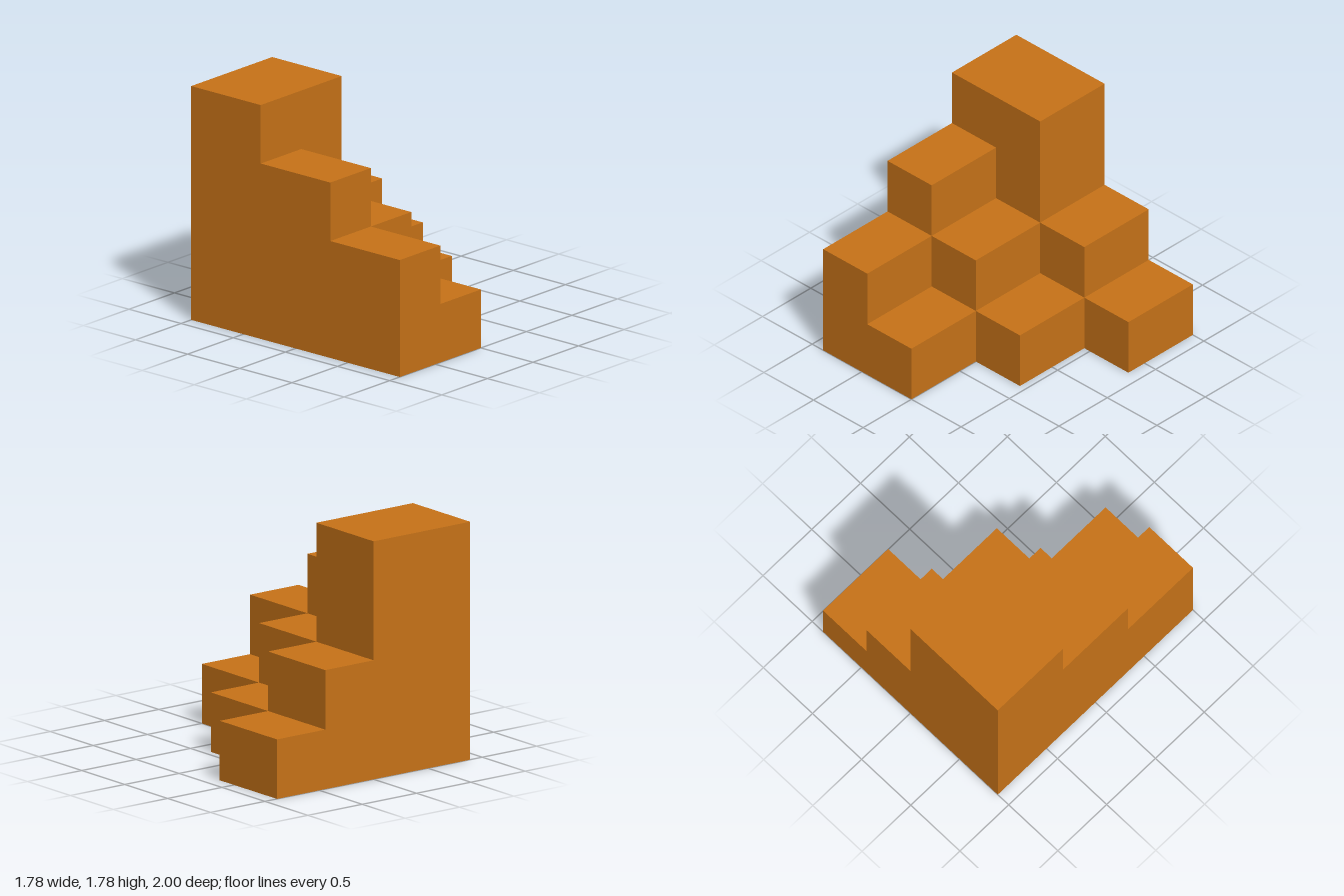
import * as THREE from 'three';

const STEP = 4 / 9;   // width and height of one block
const DEPTH = 2 / 3;  // depth of one row

// Block heights in each row, from the model's right (-x) to its left (+x)
const ROWS = [
  { name: 'backRow', heights: [4, 4, 2, 1] },
  { name: 'middleRow', heights: [3, 2, 1] },
  { name: 'frontRow', heights: [2, 1] },
];

// Stepped outline of one row, seen from the front
function stairShape(heights) {
  const x0 = -2 * STEP;
  const shape = new THREE.Shape();
  shape.moveTo(x0, 0);
  shape.lineTo(x0 + heights.length * STEP, 0);
  for (let i = heights.length - 1; i >= 0; i--) {
    const h = heights[i] * STEP;
    if (heights[i] !== heights[i + 1]) shape.lineTo(x0 + (i + 1) * STEP, h);
    if (heights[i] !== heights[i - 1]) shape.lineTo(x0 + i * STEP, h);
  }
  shape.closePath();
  return shape;
}

export function createModel() {
  const model = new THREE.Group();
  model.name = 'steppedBlocks';
  const material = new THREE.MeshStandardMaterial({ color: 0xc87318 });

  // Rows of stacked blocks, back to front
  ROWS.forEach(({ name, heights }, i) => {
    const geometry = new THREE.ExtrudeGeometry(stairShape(heights), {
      depth: DEPTH,
      bevelEnabled: false,
    });
    const row = new THREE.Mesh(geometry, material);
    row.name = name;
    row.position.z = -1 + i * DEPTH;
    model.add(row);
  });
  return model;
}
